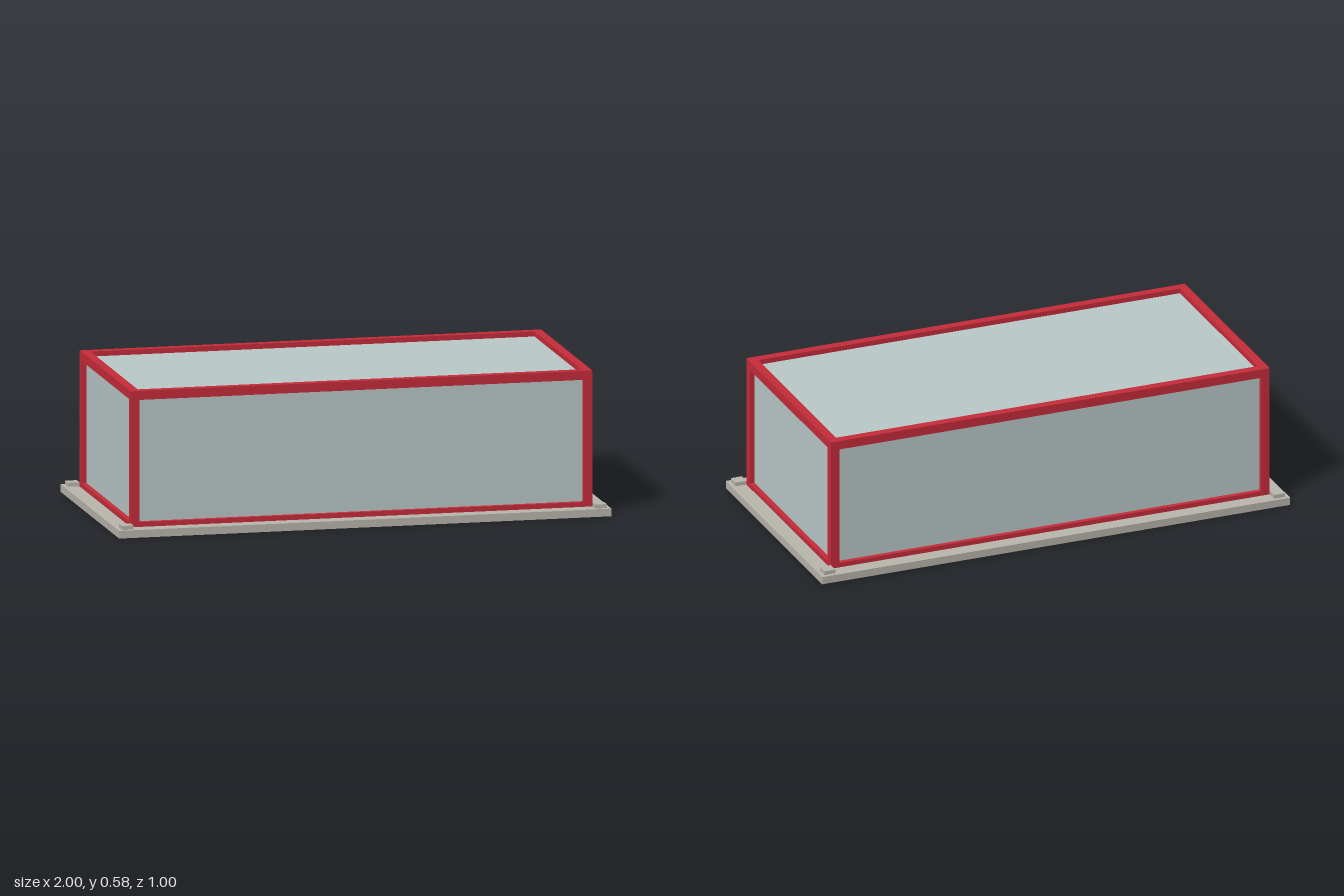
import * as THREE from 'three';

export function createModel() {
  const model = new THREE.Group();
  const material = (name, color) => {
    const m = new THREE.MeshStandardMaterial({ color });
    m.name = name;
    return m;
  };
  const red = material('frame red', 0xc82c3b);
  const glass = material('pale glass', 0xbccaca);
  const stone = material('base grey', 0xbab7ae);

  // Box given by its low and high corners
  const box = (name, mat, [x0, y0, z0], [x1, y1, z1]) => {
    const mesh = new THREE.Mesh(new THREE.BoxGeometry(x1 - x0, y1 - y0, z1 - z0), mat);
    mesh.position.set((x0 + x1) / 2, (y0 + y1) / 2, (z0 + z1) / 2);
    mesh.name = name;
    model.add(mesh);
  };

  // Outer frame extents, bar width, pane recess and pane thickness
  const X = 0.9375, Z = 0.4385, T = 0.036, R = 0.02, P = 0.008;
  const floor = 0.031, top = 0.578, sill = 0.05;
  const ix = X - T, iz = Z - T, iy = top - T;

  box('basePlate', stone, [-1, 0, -0.5], [1, floor, 0.5]);

  // Corner posts and the small pads just outside them
  for (const sx of [-1, 1]) {
    for (const sz of [-1, 1]) {
      const cx = sx * (X - T / 2), cz = sz * (Z - T / 2);
      box('cornerPost', red, [cx - T / 2, floor, cz - T / 2], [cx + T / 2, top, cz + T / 2]);
      const px = sx * 0.961, pz = sz * 0.461;
      box('cornerPad', stone, [px - 0.0235, floor, pz - 0.0235], [px + 0.0235, 0.047, pz + 0.0235]);
    }
  }

  // Rails and recessed panes on each side
  for (const s of [-1, 1]) {
    const cz = s * (Z - T / 2), cx = s * (X - T / 2);
    for (const [y0, y1, name] of [[floor, sill, 'bottomRail'], [iy, top, 'topRail']]) {
      box(name, red, [-ix, y0, cz - T / 2], [ix, y1, cz + T / 2]);
      box(name, red, [cx - T / 2, y0, -iz], [cx + T / 2, y1, iz]);
    }
    const pz = s * (Z - R - P / 2), px = s * (X - R - P / 2);
    box('longPane', glass, [-ix, sill, pz - P / 2], [ix, iy, pz + P / 2]);
    box('endPane', glass, [px - P / 2, sill, -iz], [px + P / 2, iy, iz]);
  }
  box('roofPane', glass, [-ix, top - R - P, -iz], [ix, top - R, iz]);

  return model;
}
